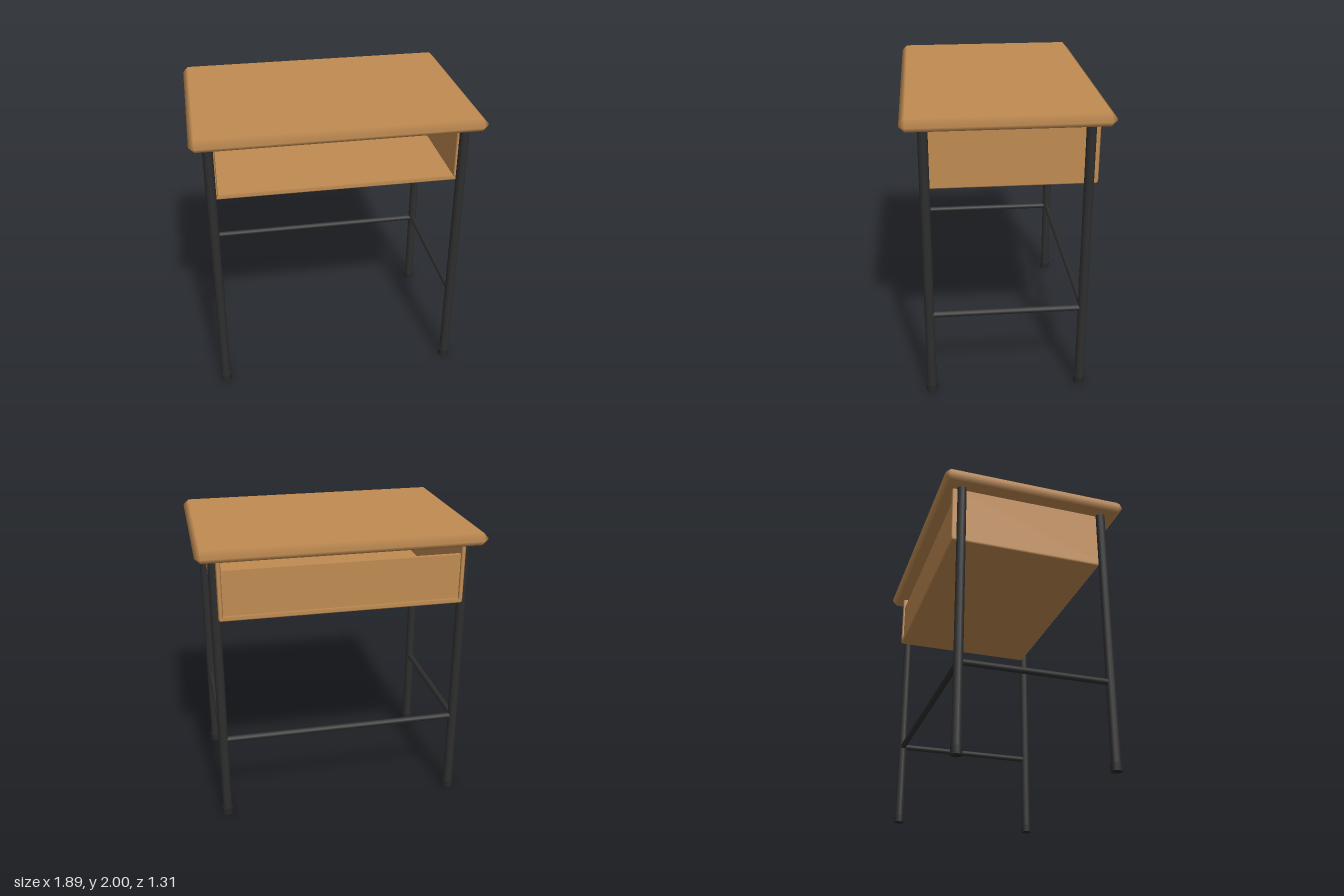
import * as THREE from 'three';
import { ConvexGeometry } from 'three/addons/geometries/ConvexGeometry.js';

// Box with every edge chamfered; normals blend softly across the chamfers
function chamferBox(w, h, d, c) {
  const half = [w / 2, h / 2, d / 2];
  const points = [];
  for (let axis = 0; axis < 3; axis++)
    for (const sx of [-1, 1]) for (const sy of [-1, 1]) for (const sz of [-1, 1]) {
      const s = [sx, sy, sz];
      points.push(new THREE.Vector3(...half.map((v, i) => s[i] * (i === axis ? v : v - c))));
    }
  const geo = new ConvexGeometry(points);
  const pos = geo.attributes.position;
  for (let i = 0; i < pos.count; i++) {
    const p = [pos.getX(i), pos.getY(i), pos.getZ(i)];
    geo.attributes.normal.setXYZ(i, ...p.map((v, k) => (Math.abs(Math.abs(v) - half[k]) < 1e-4 ? Math.sign(v) : 0)));
  }
  return geo;
}

export function createModel() {
  const wood = new THREE.MeshStandardMaterial({ color: 0xc08b52 });
  const metal = new THREE.MeshStandardMaterial({ color: 0x2e2e2e });
  const rubber = new THREE.MeshStandardMaterial({ color: 0x282828 });
  wood.name = 'wood';
  metal.name = 'dark metal';
  rubber.name = 'rubber';

  const desk = new THREE.Group();
  desk.name = 'desk';

  function add(name, geo, mat, x, y, z) {
    const mesh = new THREE.Mesh(geo, mat);
    mesh.name = name;
    mesh.position.set(x, y, z);
    desk.add(mesh);
    return mesh;
  }

  // Board given by its extents on each axis
  function board(name, x0, x1, y0, y1, z0, z1, c) {
    add(name, chamferBox(x1 - x0, y1 - y0, z1 - z0, c), wood, (x0 + x1) / 2, (y0 + y1) / 2, (z0 + z1) / 2);
  }

  // Top and the open-fronted storage tray
  board('tableTop', -0.943, 0.943, 1.915, 2, -0.653, 0.653, 0.036);
  board('trayFloor', -0.815, 0.815, 1.505, 1.54, -0.577, 0.495, 0.01);
  board('trayBack', -0.795, 0.795, 1.525, 1.845, -0.565, -0.535, 0.004);
  for (const s of [-1, 1]) {
    const name = s > 0 ? 'traySideLeft' : 'traySideRight';
    board(name, s * 0.8 - 0.015, s * 0.8 + 0.015, 1.522, 1.925, -0.578, 0.496, 0.008);
  }

  // Legs with feet
  const legX = 0.828, legZ = 0.515, barY = 0.605;
  for (const sx of [-1, 1]) for (const sz of [-1, 1]) {
    const name = (sz > 0 ? 'front' : 'back') + (sx > 0 ? 'Left' : 'Right');
    add(name + 'Leg', new THREE.CylinderGeometry(0.032, 0.032, 1.91, 12), metal, sx * legX, 0.97, sz * legZ);
    add(name + 'Foot', new THREE.CylinderGeometry(0.038, 0.038, 0.052, 12), rubber, sx * legX, 0.026, sz * legZ);
  }

  // Crossbars on both sides and at the back
  for (const s of [-1, 1]) {
    const bar = add(s > 0 ? 'leftCrossbar' : 'rightCrossbar',
      new THREE.CylinderGeometry(0.021, 0.021, 2 * legZ, 12), metal, s * legX, barY, 0);
    bar.rotation.x = Math.PI / 2;
  }
  const backBar = add('backCrossbar', new THREE.CylinderGeometry(0.021, 0.021, 2 * legX, 12), metal, 0, barY, -legZ);
  backBar.rotation.z = Math.PI / 2;

  return desk;
}
